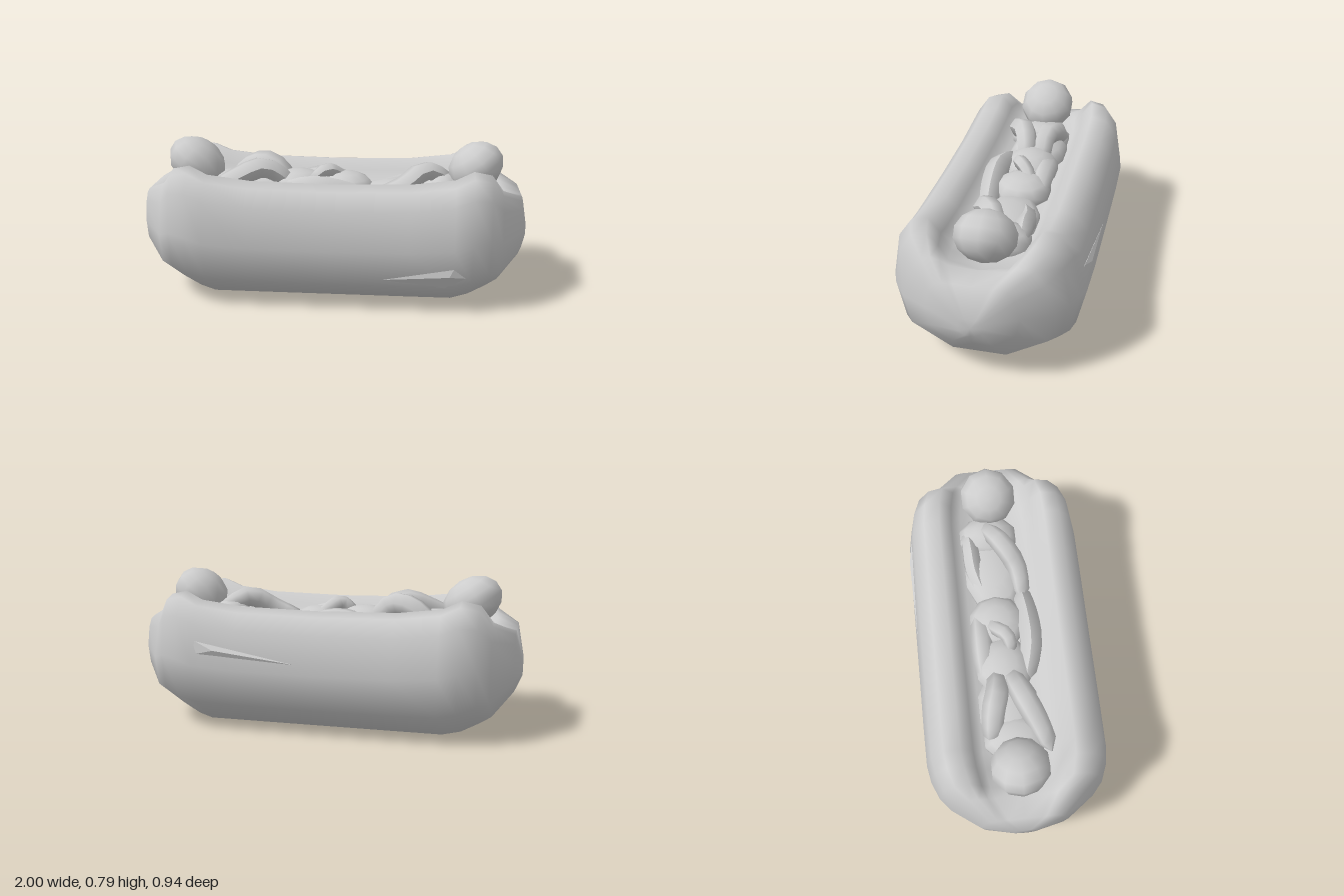
import * as THREE from 'three';
import { ConvexGeometry } from 'three/addons/geometries/ConvexGeometry.js';

const V = (p) => new THREE.Vector3(...p);

// Half cross-section of the pod: underside, side wall, rolled rim, hollow
function section([x, w, y0, yr, yi, base = 0.42, upper = 0.92]) {
  const h = yr - y0;
  const half = [
    [0, y0], [base * w, y0], [0.9 * w, y0 + 0.23 * h], [w, y0 + 0.53 * h],
    [upper * w, y0 + 0.84 * h], [(upper - 0.14) * w, y0 + 0.97 * h], [0.6 * w, yr],
    [0.47 * w, yi + 0.65 * (yr - yi)], [0.37 * w, yi + 0.2 * (yr - yi)], [0, yi],
  ];
  const back = half.slice(1, -1).reverse().map(([z, y]) => [-z, y]);
  return [...half, ...back].map(([z, y]) => [x, y, z]);
}

// Lofts the sections along x and closes both ends
function podGeometry() {
  // x, half width, bottom, rim height, hollow height, underside width, upper wall width
  const end = [
    [0.62, 0.465, 0, 0.655, 0.48], [0.71, 0.448, 0.008, 0.697, 0.49, 0.33],
    [0.8, 0.412, 0.055, 0.675, 0.51, 0.34], [0.86, 0.36, 0.09, 0.59, 0.55, 0.36, 0.86],
    [0.965, 0.22, 0.22, 0.535, 0.535, 0.42, 0.9], [1, 0.06, 0.29, 0.38, 0.375],
  ];
  const mid = [[-0.4, 0.468, 0, 0.628, 0.47], [0, 0.468, 0, 0.62, 0.47], [0.4, 0.468, 0, 0.628, 0.47]];
  const left = end.map(([x, ...r]) => [-x, ...r]).reverse();
  const rings = [...left, ...mid, ...end].map(section);
  const n = rings[0].length;
  const pos = rings.flat(2);
  const idx = [];
  for (let i = 0; i < rings.length - 1; i++) {
    for (let j = 0; j < n; j++) {
      const k = (j + 1) % n, a = i * n + j, b = i * n + k;
      idx.push(a, a + n, b, b, a + n, b + n);
    }
  }
  const c = rings.length * n, last = c - n;
  pos.push(-1, 0.33, 0, 1, 0.33, 0);
  for (let j = 0; j < n; j++) {
    const k = (j + 1) % n;
    idx.push(c, j, k, c + 1, last + k, last + j);
  }
  const g = new THREE.BufferGeometry();
  g.setAttribute('position', new THREE.Float32BufferAttribute(pos, 3));
  g.setIndex(idx);
  g.computeVertexNormals();
  return g;
}

// Rounded limb along a path, narrowing towards its ends
function limbGeometry(points, radius) {
  const path = new THREE.CatmullRomCurve3(points.map(V));
  const rows = 9, sides = 6;
  const g = new THREE.TubeGeometry(path, rows, radius, sides);
  const p = g.attributes.position, v = new THREE.Vector3();
  for (let i = 0; i <= rows; i++) {
    const t = i / rows, c = path.getPointAt(t);
    const s = i % rows ? 0.7 + 0.3 * Math.sin(Math.PI * t) : 0.05;
    for (let j = 0; j <= sides; j++) {
      const k = i * (sides + 1) + j;
      v.fromBufferAttribute(p, k).sub(c).multiplyScalar(s).add(c);
      p.setXYZ(k, v.x, v.y, v.z);
    }
  }
  g.computeVertexNormals();
  return g;
}

export function createModel() {
  const model = new THREE.Group();
  const grey = new THREE.MeshStandardMaterial({ color: 0xcccccc });
  grey.name = 'lightGrey';

  const add = (name, geometry, parent = model) => {
    const m = new THREE.Mesh(geometry, grey);
    m.name = name;
    parent.add(m);
    return m;
  };
  const blob = (name, at, size, parent, tilt = 0) => {
    const m = add(name, new THREE.SphereGeometry(1, 10, 7), parent);
    m.position.set(...at);
    m.scale.set(...size);
    m.rotation.z = tilt;
  };
  const limb = (name, points, r, parent) => add(name, limbGeometry(points, r), parent);

  add('pod', podGeometry());

  // Figure lying with its head at the -x end
  const first = new THREE.Group();
  first.name = 'firstFigure';
  model.add(first);
  blob('head', [-0.735, 0.655, 0], [0.16, 0.122, 0.15], first, -0.58);
  blob('shoulders', [-0.56, 0.52, 0], [0.13, 0.09, 0.17], first);
  blob('torso', [-0.4, 0.51, -0.02], [0.22, 0.09, 0.16], first);
  blob('hips', [-0.19, 0.52, -0.02], [0.17, 0.1, 0.15], first);
  limb('frontArm', [[-0.65, 0.53, 0.17], [-0.5, 0.6, 0.11], [-0.37, 0.64, 0.05], [-0.2, 0.52, 0.0]], 0.06, first);
  limb('backArm', [[-0.58, 0.52, -0.12], [-0.44, 0.63, -0.1], [-0.34, 0.635, -0.07], [-0.22, 0.51, -0.07]], 0.06, first);
  limb('frontLeg', [[-0.28, 0.52, 0.08], [-0.1, 0.56, 0.13], [0.08, 0.53, 0.13], [0.27, 0.47, 0.11]], 0.065, first);
  limb('hand', [[-0.13, 0.56, 0.03], [-0.05, 0.625, 0.01], [0.0, 0.6, -0.04], [0.07, 0.54, -0.08]], 0.038, first);

  // Figure lying with its head at the +x end
  const second = new THREE.Group();
  second.name = 'secondFigure';
  model.add(second);
  blob('head', [0.735, 0.655, -0.01], [0.15, 0.124, 0.15], second, 0.62);
  blob('shoulders', [0.56, 0.52, -0.03], [0.12, 0.1, 0.16], second);
  blob('torso', [0.36, 0.5, -0.02], [0.25, 0.075, 0.16], second);
  blob('hips', [0.06, 0.52, -0.03], [0.15, 0.09, 0.15], second);
  limb('frontArm', [[0.18, 0.5, 0.12], [0.36, 0.57, 0.1], [0.47, 0.635, 0.03], [0.62, 0.55, -0.06]], 0.056, second);
  limb('backArm', [[0.18, 0.5, -0.06], [0.36, 0.53, -0.12], [0.48, 0.56, -0.13], [0.6, 0.53, -0.14]], 0.05, second);
  limb('backLeg', [[0.16, 0.5, -0.12], [-0.02, 0.56, -0.12], [-0.15, 0.55, -0.12], [-0.3, 0.48, -0.11]], 0.055, second);

  // Shallow pleats in the pod walls
  const pleat = (name, points) => add(name, new ConvexGeometry(points.map(V)));
  pleat('frontPleat', [[0.27, 0.18, 0.432], [0.62, 0.25, 0.447], [0.68, 0.2, 0.43],
    [0.58, 0.14, 0.415], [0.6, 0.21, 0.452], [0.5, 0.19, 0.38]]);
  pleat('backPleat', [[0.6, 0.47, -0.445], [0.62, 0.4, -0.45], [0.08, 0.38, -0.459],
    [0.5, 0.43, -0.466], [0.4, 0.41, -0.4]]);

  return model;
}
